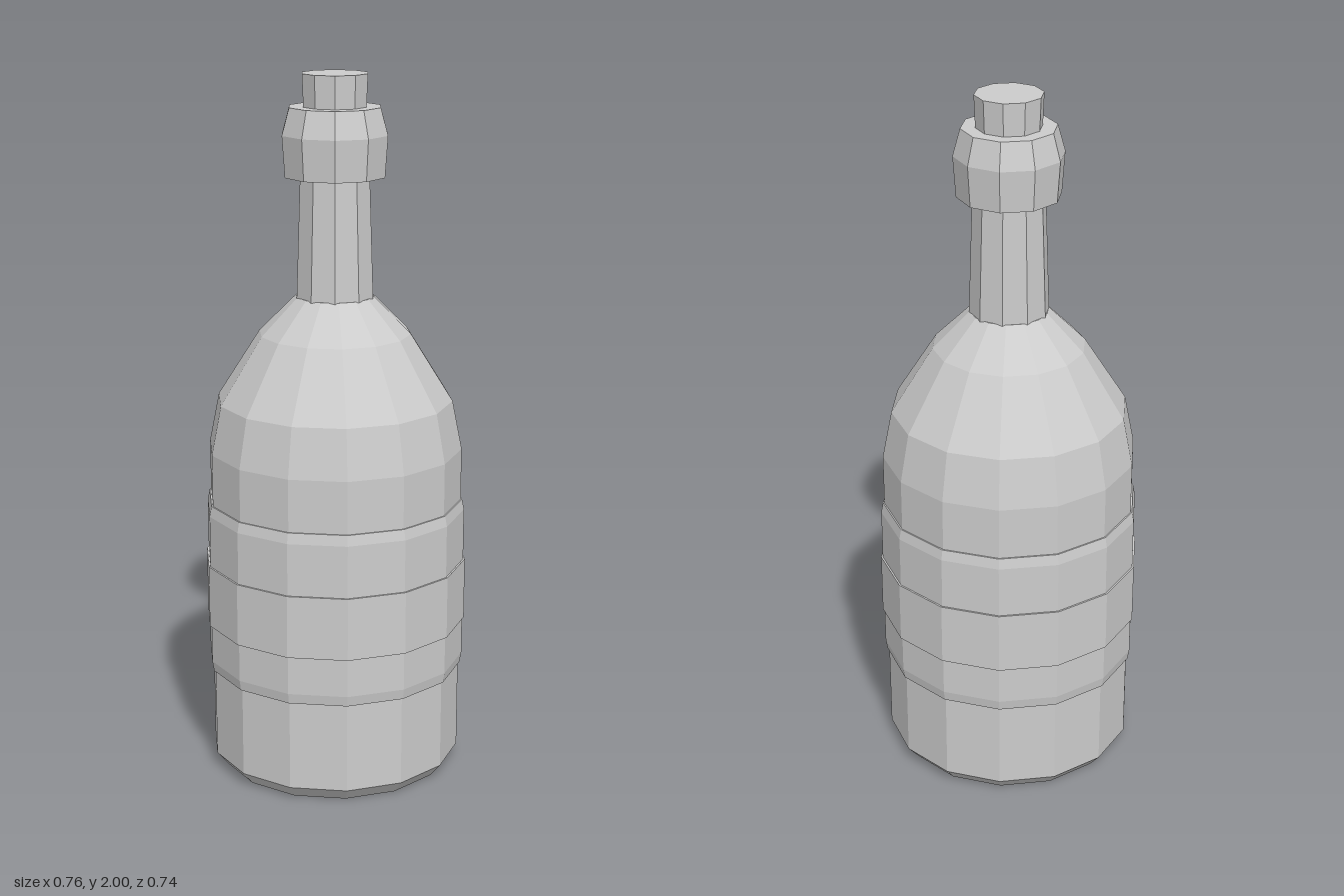
import * as THREE from 'three';

export function createModel() {
  const bottle = new THREE.Group();
  bottle.name = 'bottle';
  const grey = new THREE.MeshStandardMaterial({ color: 0xcccccc, flatShading: true });
  grey.name = 'light grey';

  // Faceted turned part; profile is [radius, y] from bottom to top, first corner on +x
  function turned(name, sides, profile) {
    const points = profile.map(([r, y]) => new THREE.Vector2(r, y));
    const mesh = new THREE.Mesh(new THREE.LatheGeometry(points, sides, Math.PI / 2), grey);
    mesh.name = name;
    bottle.add(mesh);
  }

  // Body with chamfered foot and rounded shoulder
  turned('body', 14, [
    [0, 0], [0.33, 0], [0.363, 0.04], [0.363, 0.95],
    [0.335, 1.09], [0.215, 1.28], [0.11, 1.385], [0, 1.385],
  ]);

  // Wrapped label with bevelled rims, and the raised strip around its middle
  turned('label', 14, [[0.363, 0.3], [0.368, 0.3], [0.373, 0.33], [0.373, 0.77], [0.367, 0.8], [0.363, 0.8]]);
  turned('labelStrip', 14, [[0.372, 0.44], [0.378, 0.44], [0.378, 0.62], [0.372, 0.62]]);

  // Neck, collar and cork
  turned('neck', 10, [[0.112, 1.38], [0.1, 1.74]]);
  turned('collar', 10, [[0, 1.72], [0.144, 1.72], [0.152, 1.835], [0.131, 1.91], [0, 1.91]]);
  turned('cork', 10, [[0.09, 1.9], [0.094, 2], [0, 2]]);

  return bottle;
}
